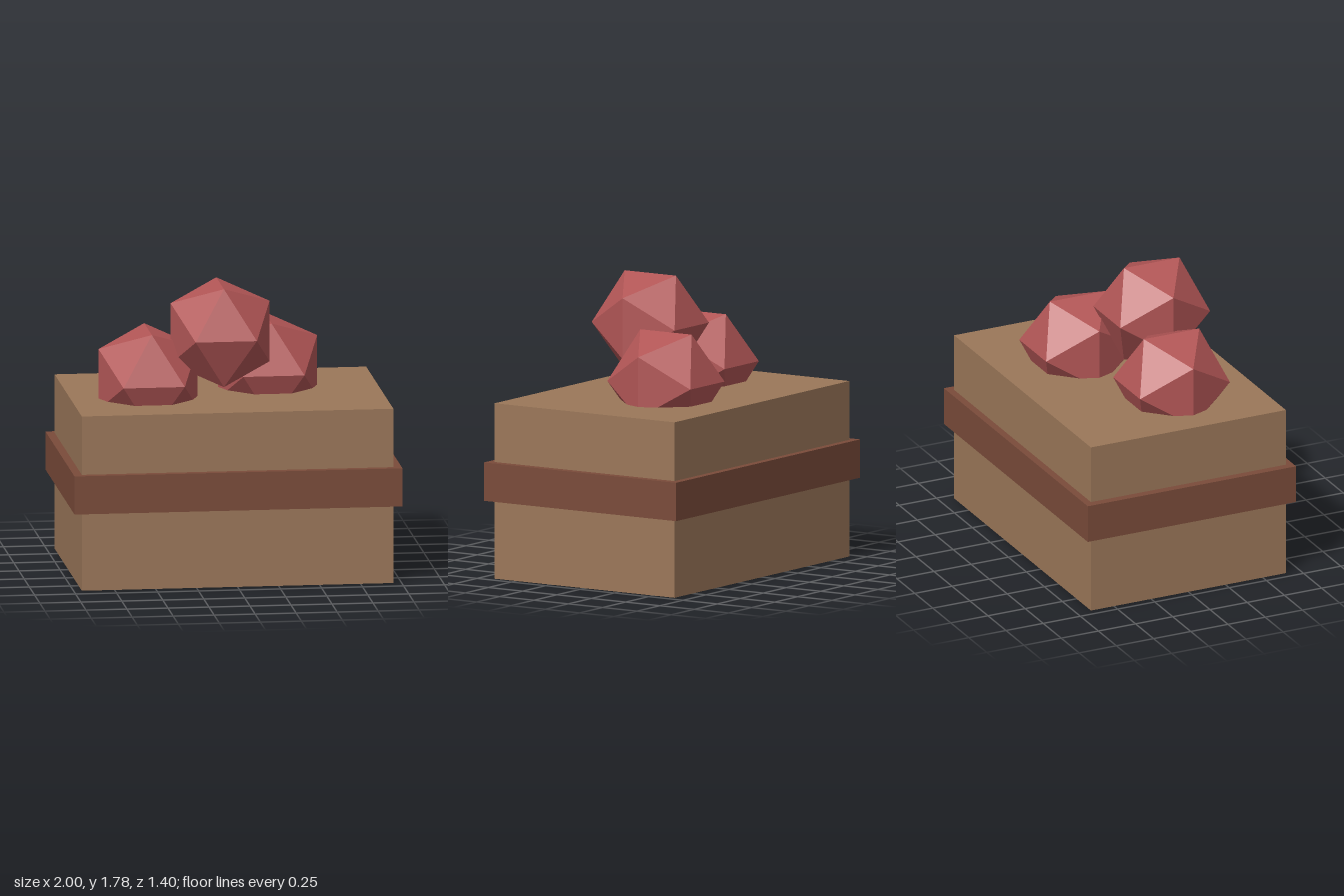
import * as THREE from 'three';

const wood = new THREE.MeshStandardMaterial({ name: 'wood brown', color: 0x9b7759, side: THREE.DoubleSide });
const trim = new THREE.MeshStandardMaterial({ name: 'dark trim brown', color: 0x7a4b3a, side: THREE.DoubleSide });
const red = new THREE.MeshStandardMaterial({ name: 'fruit red', color: 0xb25656, flatShading: true });

// Box with a top and four walls but no underside
function openBox(name, width, depth, bottom, top, material) {
  const geometry = new THREE.BoxGeometry(width, top - bottom, depth);
  const index = Array.from(geometry.index.array);
  index.splice(18, 6); // the downward face
  geometry.setIndex(index);
  geometry.clearGroups();
  const mesh = new THREE.Mesh(geometry, material);
  mesh.name = name;
  mesh.position.y = (bottom + top) / 2;
  return mesh;
}

export function createModel() {
  const model = new THREE.Group();
  model.name = 'fruitCrate';

  // Crate and the band around its middle
  model.add(openBox('crate', 1.9, 1.31, 0, 1.075, wood));
  model.add(openBox('band', 2, 1.4, 0.48, 0.715, trim));

  // Three faceted fruits, two sunk into the lid and one resting on them
  const fruits = new THREE.Group();
  fruits.name = 'fruits';
  const geometry = new THREE.IcosahedronGeometry(0.355, 0).rotateY(Math.PI / 2);
  const spots = {
    fruitRight: [-0.478, 1.193, 0.115],
    fruitLeft: [0.285, 1.193, -0.147],
    fruitTop: [-0.048, 1.48, 0.19],
  };
  for (const [name, spot] of Object.entries(spots)) {
    const fruit = new THREE.Mesh(geometry, red);
    fruit.name = name;
    fruit.position.set(...spot);
    fruits.add(fruit);
  }
  model.add(fruits);
  return model;
}
